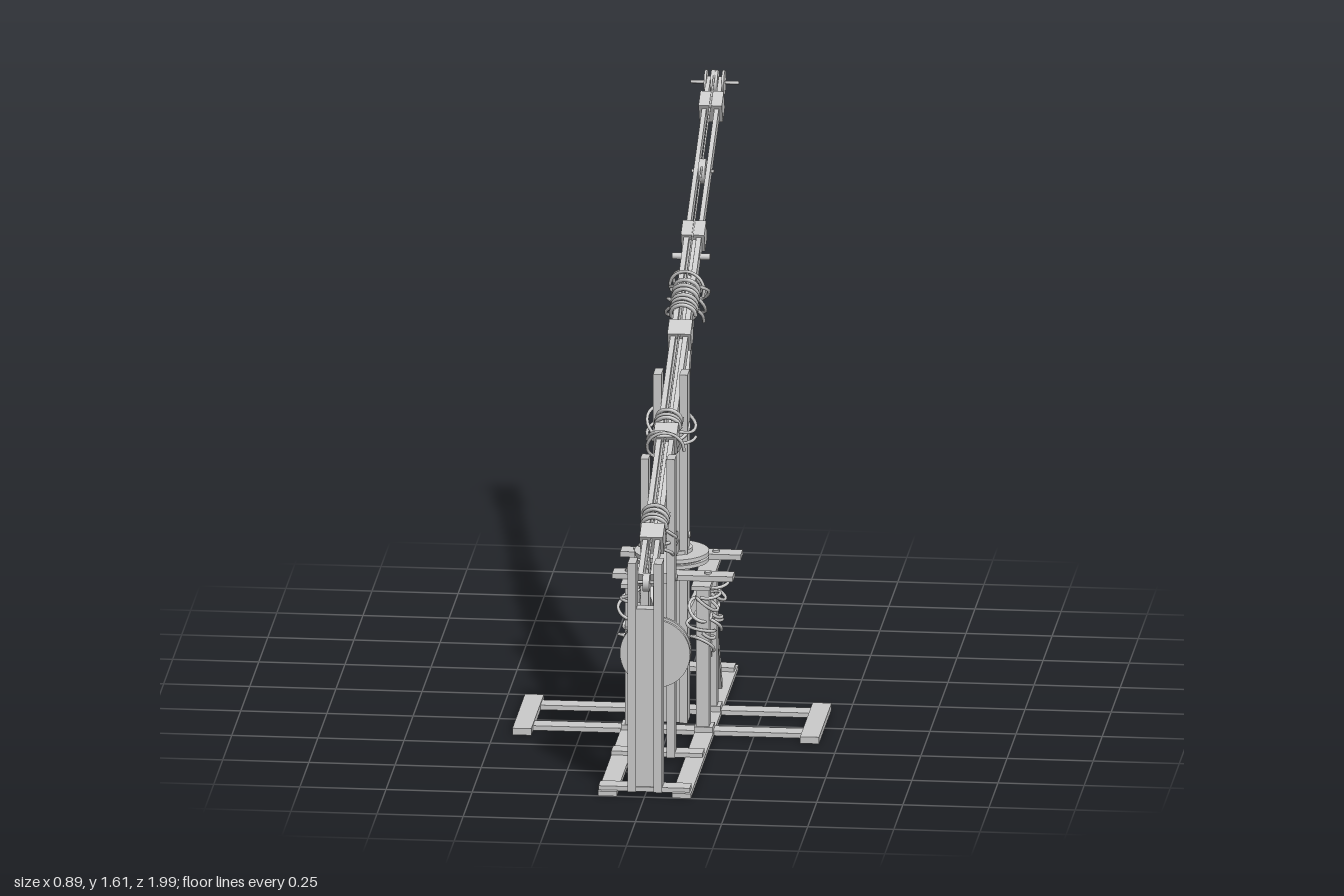
import * as THREE from 'three';

export function createModel() {
  const model = new THREE.Group();
  const wood = new THREE.MeshStandardMaterial({ color: 0xcccccc });
  const V = (x, y, z) => new THREE.Vector3(x, y, z);

  const add = (name, geometry) => {
    const mesh = new THREE.Mesh(geometry, wood);
    mesh.name = name;
    model.add(mesh);
    return mesh;
  };
  // Box given by its extents
  const box = (name, x0, x1, y0, y1, z0, z1) => {
    const m = add(name, new THREE.BoxGeometry(x1 - x0, y1 - y0, z1 - z0));
    m.position.set((x0 + x1) / 2, (y0 + y1) / 2, (z0 + z1) / 2);
    return m;
  };
  // Same box on both sides of x = 0
  const pair = (name, x0, x1, ...yz) => {
    box(name + 'Left', x0, x1, ...yz);
    box(name + 'Right', -x1, -x0, ...yz);
  };
  // Slanted timber between two points
  const beam = (name, a, b, width, height) => {
    const m = add(name, new THREE.BoxGeometry(width, height, a.distanceTo(b)));
    m.position.copy(a).lerp(b, 0.5);
    m.lookAt(b);
    return m;
  };
  // Round bar or disc between two points
  const rod = (name, a, b, r, sides = 32) => {
    const m = add(name, new THREE.CylinderGeometry(r, r, a.distanceTo(b), sides));
    m.position.copy(a).lerp(b, 0.5);
    m.quaternion.setFromUnitVectors(V(0, 1, 0), b.clone().sub(a).normalize());
    return m;
  };
  // Rope wound around an axis; wobble makes it loose
  const coil = (name, center, axis, r, length, turns, wobble = 0, thick = 0.005) => {
    const points = [];
    const n = Math.ceil(turns * 14);
    for (let i = 0; i <= n; i++) {
      const t = i / n, a = t * turns * Math.PI * 2;
      const rr = r * (1 + wobble * Math.sin(a * 0.63 + 1));
      points.push(V(rr * Math.cos(a), (t - 0.5) * length + wobble * r * Math.sin(a * 1.4), rr * Math.sin(a)));
    }
    const m = add(name, new THREE.TubeGeometry(new THREE.CatmullRomCurve3(points), n * 2, thick, 6));
    m.position.copy(center);
    m.quaternion.setFromUnitVectors(V(0, 1, 0), axis.clone().normalize());
  };

  // Ground frame
  pair('longRail', 0.08, 0.135, 0, 0.014, -0.32, 1);
  for (const [z0, z1] of [[0.1, 0.155], [0.31, 0.365]]) {
    box('crossRail', -0.4, 0.4, 0.002, 0.016, z0, z1);
  }
  pair('outriggerPlate', 0.39, 0.445, 0, 0.02, 0.06, 0.41);
  for (const [z0, z1] of [[-0.3, -0.245], [0.575, 0.63], [0.93, 0.985]]) {
    box('crossPlate', -0.135, 0.13, 0.012, 0.026, z0, z1);
  }

  // Three pairs of uprights that hold the boom between them
  for (const [z, top] of [[0.96, 0.7], [0.61, 0.91], [0.25, 1.06]]) {
    const h = z === 0.61 ? 0.026 : 0.032;
    pair('upright', 0.026, 0.05, 0.012, top, z - h, z + h);
  }
  box('frontPanel', -0.026, 0.026, 0.012, 0.56, 0.94, 0.98);
  box('mastCore', -0.026, 0.026, 0.012, 0.93, 0.225, 0.275);

  // Trestle legs, feet, diagonal struts and loose rope
  for (const s of [-1, 1]) {
    for (const z of [0.348, 0.136]) {
      box('trestleLeg', s * 0.103 - 0.019, s * 0.103 + 0.019, 0.014, 0.46, z - 0.022, z + 0.022);
      box('legFoot', s * 0.106 - 0.027, s * 0.106 + 0.027, 0.014, 0.03, z - 0.028, z + 0.028);
      coil('legRope', V(s * 0.103, z > 0.2 ? 0.38 : 0.35, z), V(0.2 * s, 1, 0.25), 0.036, 0.13, 3.3, 0.28);
      coil('legRopeLow', V(s * 0.105, 0.29, z), V(0.5, 1, -0.3), 0.034, 0.04, 1.3, 0.25);
    }
    beam('backStrut', V(s * 0.103, 0.39, 0.13), V(s * 0.103, 0.014, -0.09), 0.018, 0.026);
    beam('sideBrace', V(s * 0.1, 0.4, 0.34), V(s * 0.1, 0.18, 0.14), 0.016, 0.028);
    beam('innerBrace', V(s * 0.088, 0.41, 0.14), V(s * 0.03, 0.29, 0.26), 0.016, 0.028);
  }

  // Platform and bolts
  pair('platformBearer', 0.075, 0.13, 0.453, 0.466, 0.06, 0.42);
  for (const z of [0.115, 0.338]) {
    box('platformBeam', -0.16, 0.19, 0.466, 0.482, z - 0.028, z + 0.028);
    for (const x of [-0.115, 0.115]) rod('platformBolt', V(x, 0.48, z), V(x, 0.488, z), 0.01, 12);
  }

  // Turntable
  for (const [y0, y1, r] of [[0.478, 0.492, 0.075], [0.492, 0.503, 0.108], [0.503, 0.509, 0.09], [0.509, 0.521, 0.108], [0.521, 0.532, 0.06]]) {
    rod('turntableDisc', V(0, y0, 0.24), V(0, y1, 0.24), r, 40);
  }
  coil('turntableRope', V(0, 0.506, 0.24), V(0, 1, 0), 0.094, 0.008, 2, 0, 0.004);

  // Boom: a straight line in the x = 0 plane
  const at = (z, x = 0) => V(x, 1.097 - 0.5 * z, z);
  const along = V(0, 0.5, -1).normalize();
  for (const s of [-1, 1]) {
    beam('boomLower', at(0.93, s * 0.018), at(-0.38, s * 0.018), 0.015, 0.047);
    beam('boomUpper', at(-0.34, s * 0.018), at(-0.96, s * 0.018), 0.013, 0.04);
  }
  rod('boomCore', at(0.76), at(-0.36), 0.015, 16);
  for (const z of [0.77, 0.39, 0, -0.375, -0.865]) {
    const p = along.clone().multiplyScalar(0.031);
    beam('boomCollar', at(z).sub(p), at(z).add(p), 0.068, 0.064);
  }

  // Boom sheaves with axles
  for (const [z, r, axle] of [[0.937, 0.027, 0.045], [-0.62, 0.037, 0.033], [-0.957, 0.036, 0.07]]) {
    rod('sheave', at(z, -0.01), at(z, 0.01), r, 28);
    rod('sheaveAxle', at(z, -axle), at(z, axle), 0.005, 10);
  }
  for (const s of [-1, 1]) rod('tipCheek', at(-0.957, s * 0.022), at(-0.957, s * 0.029), 0.036, 28);
  rod('hoistRope', at(0.92).add(V(0, 0.027, 0)), at(-0.95).add(V(0, 0.037, 0)), 0.003, 6);

  // Braces and tie arm
  beam('longBrace', V(0, 0.56, 0.235), V(0, 1.26, -0.345), 0.034, 0.04);
  beam('shortBrace', V(0, 0.81, 0.23), V(0, 1.08, 0.01), 0.034, 0.034);
  beam('frontBrace', V(0, 0.7, 0.77), V(0, 0.56, 0.25), 0.042, 0.04);
  box('tieArm', -0.024, 0.024, 0.53, 0.562, 0.22, 0.62);
  for (const [y, z] of [[0.548, 0.61], [0.57, 0.245], [1.245, -0.3]]) {
    rod('crossBolt', V(-0.055, y, z), V(0.055, y, z), 0.01, 12);
  }

  // Rope lashings on the boom
  for (const [z, length, turns] of [[0.7, 0.07, 4], [0.33, 0.05, 3], [-0.1, 0.06, 4], [-0.16, 0.06, 3]]) {
    coil('boomLashing', at(z), along, 0.036, length, turns, 0.03, 0.006);
  }
  coil('looseRopeFront', V(0, 0.67, 0.62), V(0.2, 1, -0.2), 0.046, 0.08, 2.6, 0.2);
  coil('looseRopeMid', V(0, 0.9, 0.26), V(0.15, 1, 0.35), 0.064, 0.05, 2.4, 0.2);
  coil('looseRopeCollar', at(0.42), along, 0.05, 0.04, 1.5, 0.15);
  coil('looseRopeBrace', V(0, 1.14, -0.2), V(0.2, 0.9, -0.6), 0.05, 0.1, 4, 0.25);
  coil('looseRopeTop', V(0, 1.18, -0.22), V(0.3, 0.3, -1), 0.048, 0.05, 2, 0.2);

  // Winding drum, small pulley and crank
  const cy = 0.345;
  rod('drumFront', V(0, cy, 0.694), V(0, cy, 0.707), 0.102, 48);
  rod('drumBack', V(0, cy, 0.663), V(0, cy, 0.675), 0.102, 48);
  rod('drumCore', V(0, cy, 0.67), V(0, cy, 0.7), 0.088, 40);
  coil('drumRope', V(0, cy, 0.684), V(0, 0, 1), 0.091, 0.012, 2, 0, 0.005);
  rod('axle', V(0, cy, 0.68), V(0, cy, 0.5), 0.008, 14);
  for (const z of [0.528, 0.543]) rod('pulleyFlange', V(0, cy, z - 0.004), V(0, cy, z + 0.004), 0.055, 36);
  rod('pulleyCore', V(0, cy, 0.528), V(0, cy, 0.543), 0.045, 32);
  rod('crankHandle', V(0, 0.305, 0.53), V(0, 0.305, 0.463), 0.006, 12);

  return model;
}
